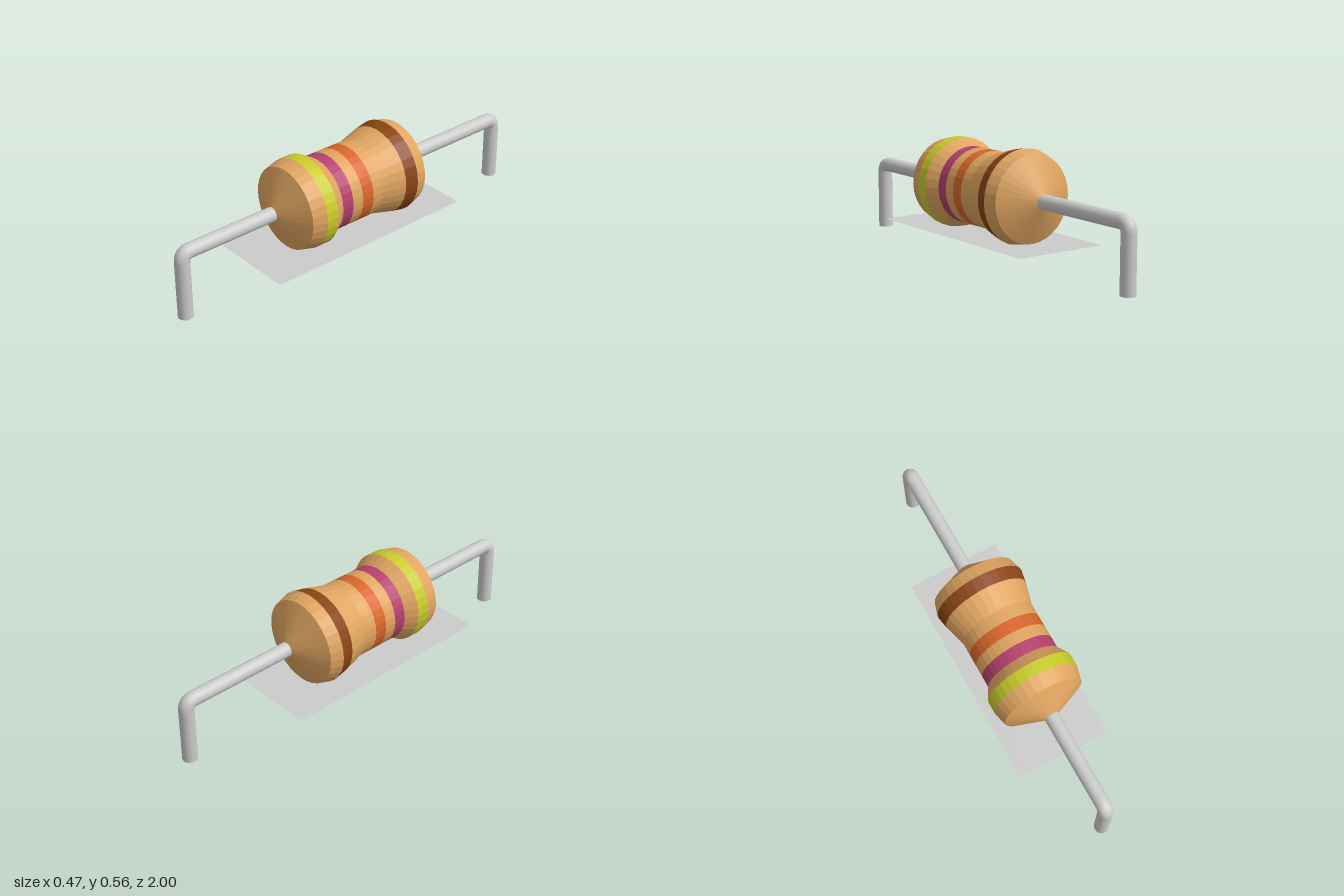
import * as THREE from 'three';

const AXIS_X = 0.003, AXIS_Y = 0.333, WIRE_R = 0.036;
const TAN = 0xe0a560;

// Body sections along z: name, colour, [radius, z] points from back to front
const SECTIONS = [
  ['backCap', TAN, [[0.034, -0.384], [0.211, -0.298], [0.229, -0.235]]],
  ['brownBand', 0x8a4513, [[0.229, -0.235], [0.217, -0.171]]],
  ['waistBack', TAN, [[0.217, -0.171], [0.187, -0.056], [0.187, 0.008]]],
  ['orangeBand', 0xd9662a, [[0.187, 0.008], [0.187, 0.071]]],
  ['waistMiddle', TAN, [[0.187, 0.071], [0.187, 0.131]]],
  ['magentaBand', 0xb5406f, [[0.187, 0.131], [0.187, 0.192]]],
  ['waistFront', TAN, [[0.187, 0.192], [0.222, 0.251]]],
  ['yellowBand', 0xc8cc2a, [[0.222, 0.251], [0.222, 0.313]]],
  ['frontCap', TAN, [[0.222, 0.313], [0.204, 0.385], [0.034, 0.462]]],
];

function material(color, extra = {}) {
  return new THREE.MeshStandardMaterial({ color, ...extra });
}

// Bent wire lead; side is +1 for the front and -1 for the back
function makeLead(name, side, footY) {
  const lead = new THREE.Group();
  lead.name = name;
  const z = side * (1 - WIRE_R), bend = 0.045;
  const p = (y, zz) => new THREE.Vector3(AXIS_X, y, zz);
  const path = new THREE.CurvePath();
  path.add(new THREE.LineCurve3(p(AXIS_Y, side * 0.34), p(AXIS_Y, z - side * bend)));
  path.add(new THREE.QuadraticBezierCurve3(p(AXIS_Y, z - side * bend), p(AXIS_Y, z), p(AXIS_Y - bend, z)));
  path.add(new THREE.LineCurve3(p(AXIS_Y - bend, z), p(footY, z)));
  const wire = new THREE.Mesh(new THREE.TubeGeometry(path, 96, WIRE_R, 24), material(0xcccccc));
  wire.name = name + 'Wire';
  const foot = new THREE.Mesh(new THREE.CircleGeometry(WIRE_R, 24).rotateX(Math.PI / 2), material(0xcccccc));
  foot.position.set(AXIS_X, footY, z);
  foot.name = name + 'Foot';
  lead.add(wire, foot);
  return lead;
}

export function createModel() {
  const model = new THREE.Group();
  model.name = 'resistor';

  // Turned body with coloured bands
  const body = new THREE.Group();
  body.name = 'body';
  body.position.set(AXIS_X, AXIS_Y, 0);
  for (const [name, color, pts] of SECTIONS) {
    const geo = new THREE.LatheGeometry(pts.map(([r, z]) => new THREE.Vector2(r, z)), 32);
    const mesh = new THREE.Mesh(geo.rotateX(Math.PI / 2), material(color, { flatShading: true }));
    mesh.name = name;
    body.add(mesh);
  }
  model.add(body);

  // Wire leads; the back foot ends slightly higher
  model.add(makeLead('frontLead', 1, 0), makeLead('backLead', -1, 0.015));

  // Thin base sheet that the two bulges dip through
  const sheet = new THREE.Mesh(
    new THREE.PlaneGeometry(0.47, 1.11).rotateX(-Math.PI / 2),
    material(0xcccccc, { side: THREE.DoubleSide })
  );
  sheet.position.set(-0.003, 0.123, 0.047);
  sheet.name = 'baseSheet';
  model.add(sheet);

  return model;
}
